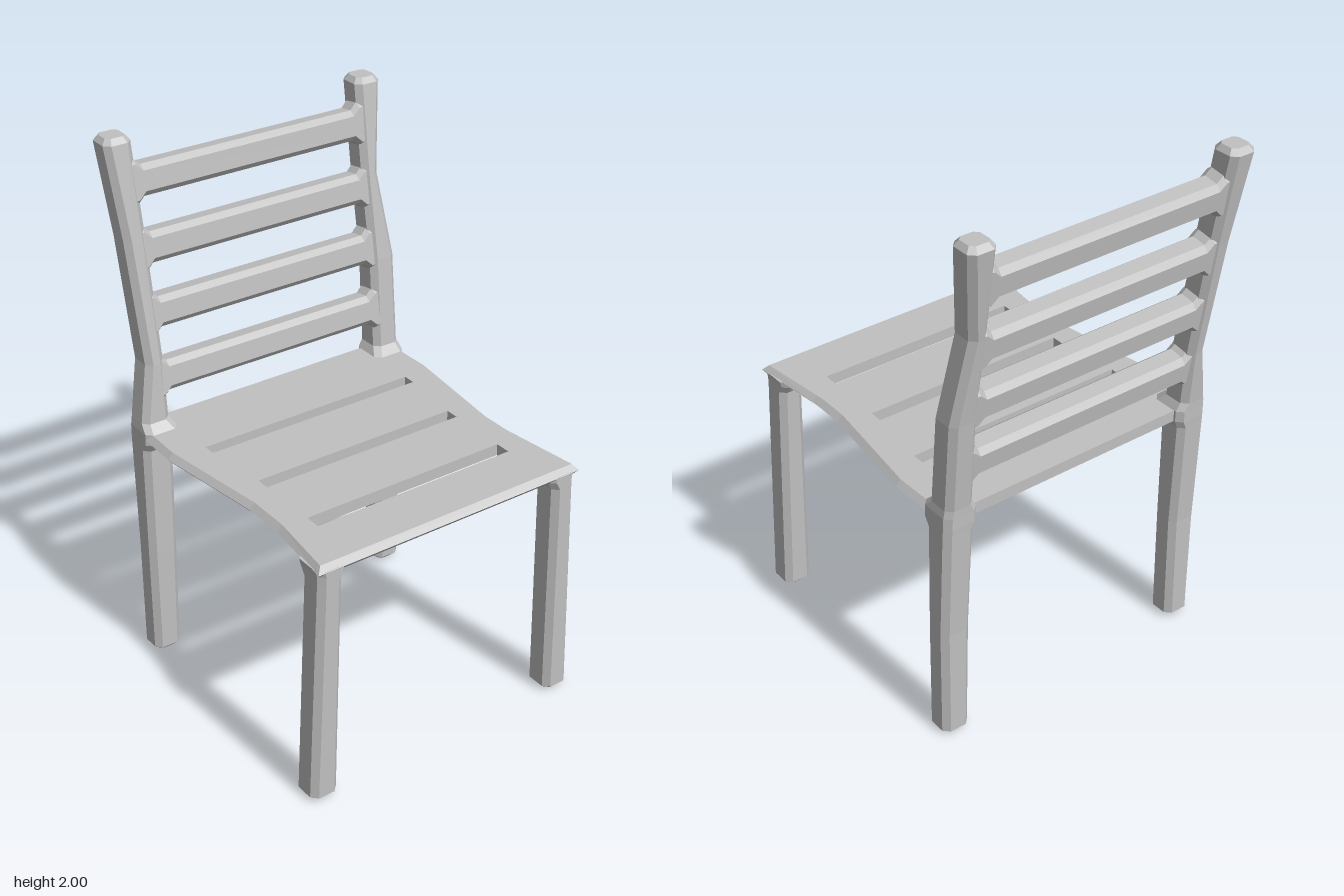
import * as THREE from 'three';

const grey = new THREE.MeshStandardMaterial({ color: 0xc0c0c0, flatShading: true });
grey.name = 'plain grey';

// Skin a bar through chamfered rectangles: [y, x0, x1, z0, z1, chamfer]
function loft(rings) {
  const loops = rings.map(([y, x0, x1, z0, z1, c = 0.022]) => [
    [x1, z0 + c], [x1, z1 - c], [x1 - c, z1], [x0 + c, z1],
    [x0, z1 - c], [x0, z0 + c], [x0 + c, z0], [x1 - c, z0],
  ].map(([x, z]) => [x, y, z]));
  const pos = [];
  const tri = (...pts) => pts.forEach((p) => pos.push(...p));
  for (let i = 0; i < loops.length - 1; i++) {
    for (let j = 0; j < 8; j++) {
      const k = (j + 1) % 8;
      const a = loops[i][j], b = loops[i][k], c = loops[i + 1][j], d = loops[i + 1][k];
      tri(a, c, b);
      tri(b, c, d);
    }
  }
  const first = loops[0], last = loops[loops.length - 1];
  for (let j = 1; j < 7; j++) {
    tri(first[0], first[j], first[j + 1]);
    tri(last[0], last[j + 1], last[j]);
  }
  const g = new THREE.BufferGeometry();
  g.setAttribute('position', new THREE.Float32BufferAttribute(pos, 3));
  g.computeVertexNormals();
  return g;
}

// Seat panel with curved sides, three slots and chamfered rim
function seatGeometry() {
  const side = [[-0.48, 0.49], [-0.39, 0.565], [-0.23, 0.568], [0.2, 0.512], [0.36, 0.512], [0.645, 0.545]];
  const outline = [
    ...side.map(([x, z]) => new THREE.Vector2(x, -z)),
    ...side.slice().reverse().map(([x, z]) => new THREE.Vector2(x, z)),
  ];
  const shape = new THREE.Shape(outline);
  for (const [x0, x1, z] of [[-0.197, -0.149, 0.436], [0.093, 0.145, 0.406], [0.377, 0.436, 0.402]]) {
    shape.holes.push(new THREE.Path([
      new THREE.Vector2(x0, -z), new THREE.Vector2(x0, z),
      new THREE.Vector2(x1, z), new THREE.Vector2(x1, -z),
    ]));
  }
  const g = new THREE.ExtrudeGeometry(shape, { depth: 0.044, steps: 2, bevelEnabled: false });
  g.rotateX(-Math.PI / 2);
  g.translate(0, 0.911, 0);
  const p = g.attributes.position;
  for (let i = 0; i < p.count; i++) {
    const x = p.getX(i), y = p.getY(i), z = p.getZ(i);
    if (Math.abs(z) < 0.46 || Math.abs(y - 0.933) < 0.01) continue;
    p.setZ(i, z - Math.sign(z) * 0.02);
    if (x > 0.6) p.setX(i, x - 0.02);
  }
  g.computeVertexNormals();
  return g;
}

export function createModel() {
  const chair = new THREE.Group();
  chair.name = 'chair';
  const add = (name, geometry) => {
    const mesh = new THREE.Mesh(geometry, grey);
    mesh.name = name;
    chair.add(mesh);
    return mesh;
  };

  add('seat', seatGeometry());

  for (const s of [1, -1]) {
    // Rows give [y, x0, x1, inner z, outer z, chamfer]
    const bar = (rows) => loft(rows.map(([y, x0, x1, zi, zo, c]) =>
      [y, x0, x1, Math.min(s * zi, s * zo), Math.max(s * zi, s * zo), c]));

    // Front leg, leaning slightly inward and flared under the seat
    add('frontLeg', bar([
      [0, 0.55, 0.625, 0.485, 0.55, 0.015],
      [0.02, 0.53, 0.643, 0.463, 0.57],
      [0.88, 0.53, 0.643, 0.442, 0.535],
      [0.912, 0.508, 0.643, 0.425, 0.535],
      [0.936, 0.508, 0.643, 0.425, 0.54],
    ]));

    // Back leg and post in one bar, with small flares where it meets the seat
    const upper = s > 0
      ? [[1.2, -0.53, -0.418, 0.45, 0.522], [1.65, -0.594, -0.485, 0.455, 0.54]]
      : [[1.33, -0.547, -0.436, 0.46, 0.565], [1.65, -0.594, -0.485, 0.455, 0.523]];
    add('backPost', bar([
      [0, -0.47, -0.405, 0.485, 0.55, 0.015],
      [0.02, -0.49, -0.385, 0.463, 0.57],
      [0.45, -0.49, -0.386, 0.455, 0.57],
      [0.88, -0.508, -0.39, 0.448, 0.567],
      [0.912, -0.51, -0.368, 0.435, 0.566],
      [0.955, -0.511, -0.368, 0.435, 0.565],
      [0.985, -0.512, -0.398, 0.452, 0.56],
      ...upper,
      [1.98, -0.648, -0.538, 0.46, 0.565],
      [2, -0.63, -0.555, 0.475, 0.55, 0.015],
    ]));
  }

  // Backrest slats, tilted with the posts and flared at both ends
  const slat = loft([
    [-0.49, 0.085], [-0.462, 0.082], [-0.435, 0.056],
    [0.435, 0.056], [0.462, 0.082], [0.49, 0.085],
  ].map(([z, h]) => [z, -0.048, 0.048, -h, h, 0.02]));
  slat.rotateX(Math.PI / 2);
  for (const y of [1.132, 1.366, 1.598, 1.832]) {
    const mesh = add('backSlat', slat);
    mesh.position.set(-0.467 - 0.147 * (y - 1.15), y, 0);
    mesh.rotation.z = 0.146;
  }
  return chair;
}
